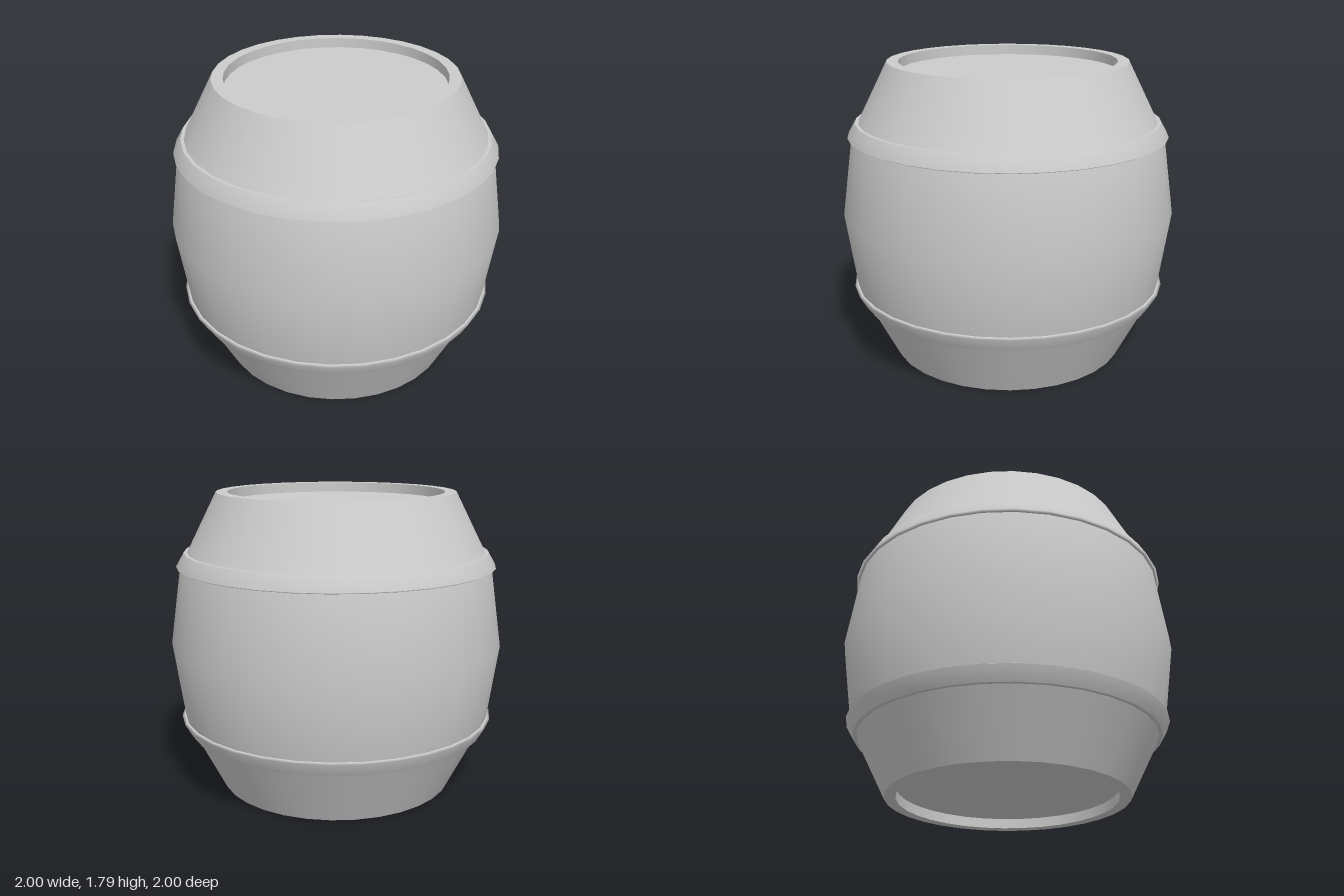
import * as THREE from 'three';

const HEIGHT = 1.79;
const SIDES = 32;
const material = new THREE.MeshStandardMaterial({ color: 0xcccccc });

// Profiles run upwards on the outside of the barrel
function lathe(name, profile) {
  const points = profile.map(([r, y]) => new THREE.Vector2(r, y));
  const mesh = new THREE.Mesh(new THREE.LatheGeometry(points, SIDES), material);
  mesh.name = name;
  return mesh;
}

// Same profile for the other end, reversed so the faces stay outward
const flip = (profile) => profile.map(([r, y]) => [r, HEIGHT - y]).reverse();

export function createModel() {
  const barrel = new THREE.Group();
  barrel.name = 'barrel';

  // Bulging stave wall
  const lower = [[0.713, 0], [0.89, 0.35], [0.935, 0.44]];
  barrel.add(lathe('staves', [...lower, [1, HEIGHT / 2], ...flip(lower)]));

  // Parts repeated at both ends, described for the bottom end
  const parts = {
    Rim: [[0.645, 0], [0.713, 0]],
    RimWall: [[0.645, 0.06], [0.645, 0]],
    Head: [[0, 0.06], [0.645, 0.06]],
    HoopEdge: [[0.885, 0.35], [0.91, 0.35]],
    Hoop: [[0.91, 0.35], [0.957, 0.432], [0.942, 0.44], [0.92, 0.44]],
  };
  for (const [name, profile] of Object.entries(parts)) {
    barrel.add(lathe('bottom' + name, profile));
    barrel.add(lathe('top' + name, flip(profile)));
  }
  return barrel;
}
